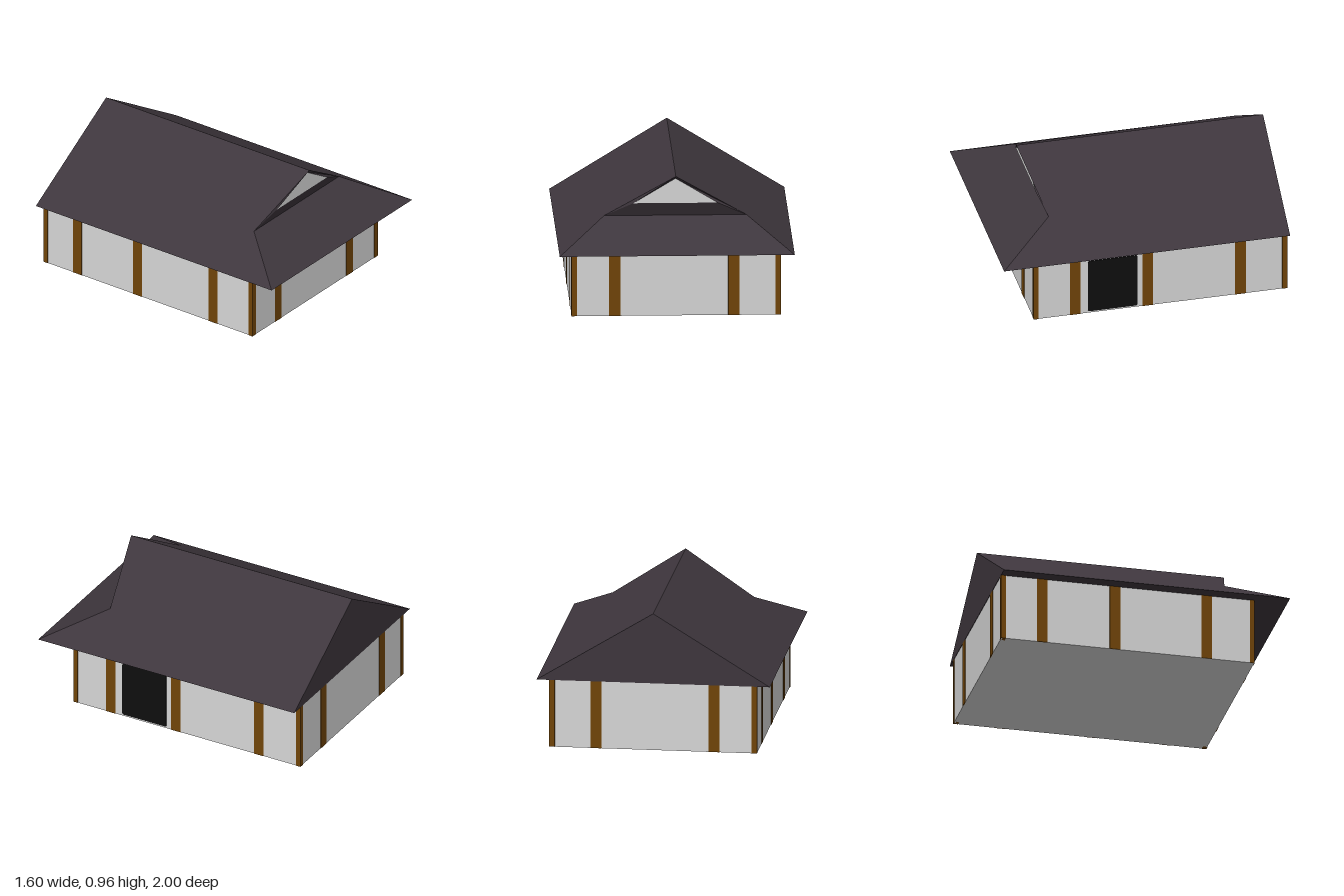
import * as THREE from 'three';

const mat = (name, color) => {
  const m = new THREE.MeshStandardMaterial({ color });
  m.name = name;
  return m;
};

export function createModel() {
  const house = new THREE.Group();
  house.name = 'house';
  const plaster = mat('plaster', 0xd6d6d6);
  const timber = mat('timber', 0x704408);
  const tiles = mat('roof tiles', 0x3e363d);
  const black = mat('door black', 0x0e0e0e);

  const H = 0.47, W = 0.71, BACK = -1, FRONT = 0.77, T = 0.003;

  const add = (name, geo, material, parent = house) => {
    const mesh = new THREE.Mesh(geo, material);
    mesh.name = name;
    parent.add(mesh);
    return mesh;
  };
  // box given by its limits
  const block = (name, material, x0, x1, y0, y1, z0, z1, parent) =>
    add(name, new THREE.BoxGeometry(x1 - x0, y1 - y0, z1 - z0), material, parent)
      .position.set((x0 + x1) / 2, (y0 + y1) / 2, (z0 + z1) / 2);
  // flat polygon as a triangle fan from its first corner
  const face = (name, material, pts, parent) => {
    const pos = [];
    for (let i = 1; i < pts.length - 1; i++) pos.push(...pts[0], ...pts[i], ...pts[i + 1]);
    const geo = new THREE.BufferGeometry();
    geo.setAttribute('position', new THREE.Float32BufferAttribute(pos, 3));
    geo.computeVertexNormals();
    return add(name, geo, material, parent);
  };
  const flip = ([x, y, z]) => [-x, y, z];
  const mirrored = (pts) => pts.map(flip).reverse();

  // Walls
  block('walls', plaster, -W, W, 0, H, BACK + T, FRONT);

  // Timber posts
  const posts = new THREE.Group();
  posts.name = 'posts';
  house.add(posts);
  for (const s of [-1, 1]) {
    const x0 = s > 0 ? W - 0.035 : -W - T, x1 = s > 0 ? W + T : -W + 0.035;
    block('cornerPost', timber, x0, x1, 0, H, FRONT - 0.03, FRONT + T, posts);
    block('cornerPost', timber, x0, x1, 0, H, BACK, BACK + 0.035, posts);
  }
  for (const [x0, x1] of [[-0.455, -0.38], [0.355, 0.43]]) {
    block('frontPost', timber, x0, x1, 0, H, FRONT - T, FRONT + T, posts);
    block('backPost', timber, x0, x1, 0, H, BACK, BACK + 2 * T, posts);
  }
  for (const z of [0.483, -0.025, -0.673])
    block('leftPost', timber, W - T, W + T, 0, H, z - 0.037, z + 0.037, posts);
  for (const z of [0.438, -0.203, -0.713])
    block('rightPost', timber, -W - T, -W + T, 0, H, z - 0.037, z + 0.037, posts);

  // Door: thin plate with slightly rounded corners on the left wall
  const a = 0.172, b = 0.2, r = 0.012;
  const door = new THREE.Shape();
  door.moveTo(-a + r, -b).lineTo(a - r, -b).quadraticCurveTo(a, -b, a, -b + r)
    .lineTo(a, b - r).quadraticCurveTo(a, b, a - r, b)
    .lineTo(-a + r, b).quadraticCurveTo(-a, b, -a, b - r)
    .lineTo(-a, -b + r).quadraticCurveTo(-a, -b, -a + r, -b);
  const doorMesh = add('door',
    new THREE.ExtrudeGeometry(door, { depth: 0.005, bevelEnabled: false, curveSegments: 4 }), black);
  doorMesh.rotation.y = Math.PI / 2;
  doorMesh.position.set(W - 0.001, 0.212, 0.22);

  // Roof: two long slopes, a front hip and a recessed gable above it
  const roof = new THREE.Group();
  roof.name = 'roof';
  house.add(roof);
  const eaveF = [0.8, H, 1], eaveB = [0.8, H, BACK];
  const ridgeF = [0, 0.96, 0.725], ridgeB = [0, 0.96, BACK];
  const notch = [0.485, 0.664, 0.615];
  const sill = [0.287, 0.76, 0.662], peak = [0, 0.932, 0.662];

  const slope = [eaveB, ridgeB, ridgeF, notch, eaveF];
  const slopeRight = [flip(eaveB), flip(eaveF), flip(notch), ridgeF, ridgeB];
  face('leftSlope', tiles, slope, roof);
  face('rightSlope', tiles, slopeRight, roof);
  face('frontHip', tiles, [flip(eaveF), eaveF, notch, flip(notch)], roof);
  face('gableBand', tiles, [flip(notch), notch, sill, flip(sill)], roof);
  const soffit = [notch, ridgeF, peak, sill];
  face('leftGableSoffit', tiles, soffit, roof);
  face('rightGableSoffit', tiles, mirrored(soffit), roof);
  face('gableWall', plaster, [flip(sill), sill, peak], roof);
  face('backGable', tiles, [eaveB, flip(eaveB), ridgeB], roof);
  face('eavesUnderside', tiles, [eaveF, flip(eaveF), flip(eaveB), eaveB], roof);

  return house;
}
